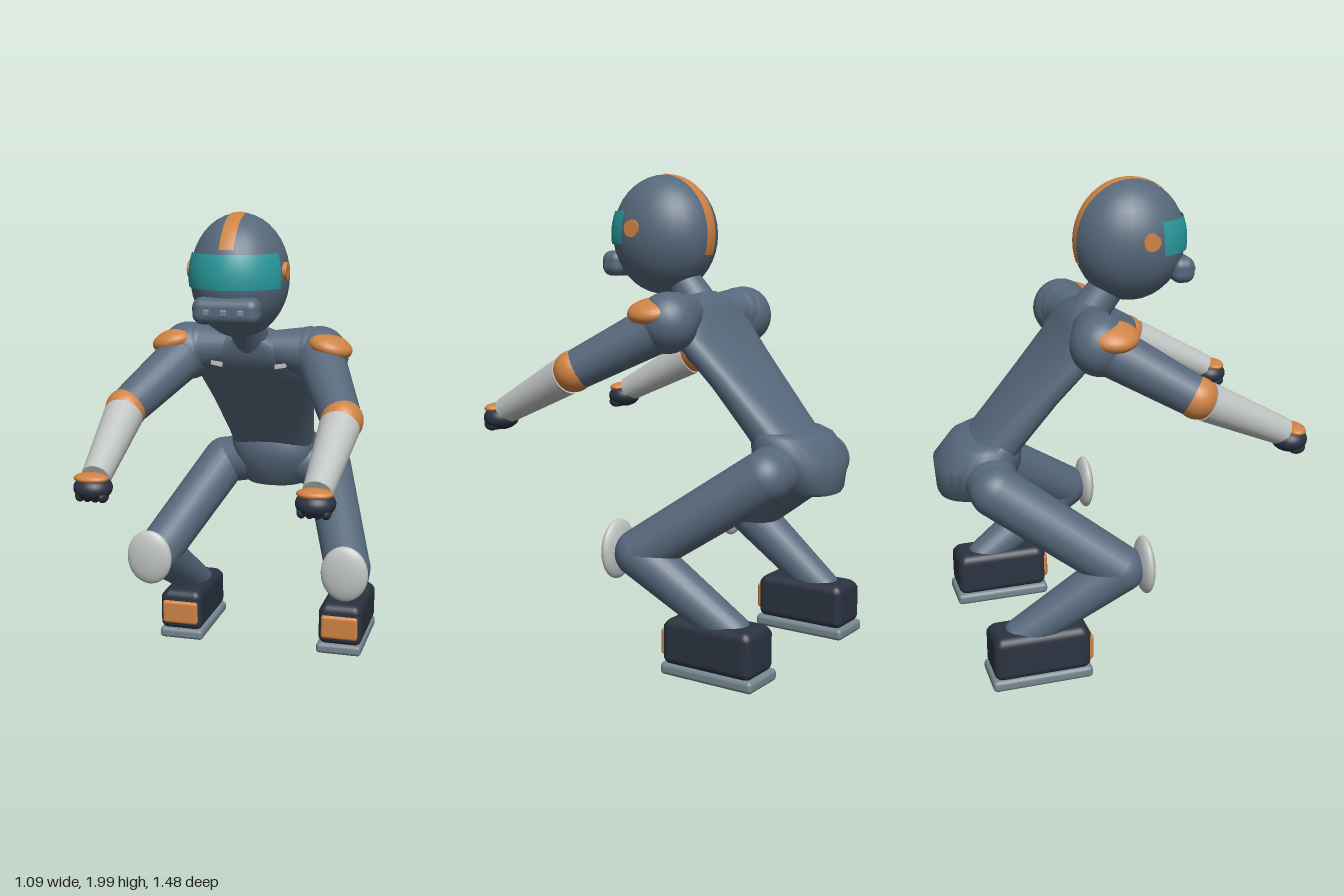
import * as THREE from 'three';
import { toCreasedNormals } from 'three/addons/utils/BufferGeometryUtils.js';
import { RoundedBoxGeometry } from 'three/addons/geometries/RoundedBoxGeometry.js';

const material = (name, color, side = THREE.FrontSide) => {
  const m = new THREE.MeshStandardMaterial({ color, side });
  m.name = name;
  return m;
};
const suit = material('slate suit', 0x56687b);
const dark = material('dark rubber', 0x2b3341);
const orange = material('orange trim', 0xcf8344);
const pale = material('pale armour', 0xc0c4c3);
const teal = material('teal visor', 0x2a9a9e, THREE.DoubleSide);
const grey = material('grey sole', 0x768690);

const V = (x, y, z) => new THREE.Vector3(x, y, z);

function add(parent, name, geometry, mat, [x, y, z] = [0, 0, 0]) {
  const mesh = new THREE.Mesh(geometry, mat);
  mesh.name = name;
  mesh.position.set(x, y, z);
  parent.add(mesh);
  return mesh;
}

function ellipsoid(parent, name, mat, pos, radii) {
  const mesh = add(parent, name, new THREE.SphereGeometry(1, 28, 20), mat, pos);
  mesh.scale.set(...radii);
  return mesh;
}

// Tapered round limb between two points, with rounded ends
function limb(parent, name, mat, a, b, ra, rb, caps = true) {
  const group = new THREE.Group();
  group.name = name;
  const dir = b.clone().sub(a);
  const tube = add(group, name + 'Tube', new THREE.CylinderGeometry(rb, ra, dir.length(), 24), mat,
    a.clone().add(b).multiplyScalar(0.5).toArray());
  tube.quaternion.setFromUnitVectors(V(0, 1, 0), dir.normalize());
  if (caps) {
    ellipsoid(group, name + 'Start', mat, a.toArray(), [ra, ra, ra]);
    ellipsoid(group, name + 'End', mat, b.toArray(), [rb, rb, rb]);
  }
  parent.add(group);
  return group;
}

// Loft of superellipse rings: [y, z, halfWidth, halfDepth, tilt]
function loft(rings, power, n = 28) {
  const pos = [], index = [];
  const bend = (v) => Math.sign(v) * Math.abs(v) ** (2 / power);
  const all = [[...rings[0]], ...rings, [...rings.at(-1)]];
  for (const cap of [all[0], all.at(-1)]) cap[2] = cap[3] = 0.0001;
  all.forEach(([y, z, w, d, tilt], i) => {
    for (let j = 0; j < n; j++) {
      const t = (j / n) * Math.PI * 2, s = d * bend(Math.sin(t));
      pos.push(w * bend(Math.cos(t)), y - s * Math.sin(tilt), z + s * Math.cos(tilt));
      if (i === all.length - 1) continue;
      const a = i * n + j, b = i * n + (j + 1) % n;
      index.push(a, a + n, b + n, a, b + n, b);
    }
  });
  const g = new THREE.BufferGeometry();
  g.setAttribute('position', new THREE.Float32BufferAttribute(pos, 3));
  g.setIndex(index);
  return toCreasedNormals(g, 0.9);
}

function buildHead() {
  const head = new THREE.Group();
  head.name = 'head';
  const c = [0, 1.745, 0.113];
  ellipsoid(head, 'helmet', suit, c, [0.201, 0.252, 0.234]);
  // Visor band
  const visor = add(head, 'visor', new THREE.SphereGeometry(1, 32, 8, 0.37, Math.PI - 0.74, 1.18, 0.54), teal, c);
  visor.scale.set(0.207, 0.26, 0.242);
  // Crest stripe running from the brow to the nape
  const band = new THREE.SphereGeometry(1, 32, 4, 2.05, 3.0, Math.PI / 2 - 0.15, 0.3).rotateZ(Math.PI / 2);
  add(head, 'crestStripe', band, orange, c).scale.set(0.2, 0.255, 0.237);
  // Mouth guard with three studs
  add(head, 'mouthGuard', new RoundedBoxGeometry(0.275, 0.108, 0.1, 5, 0.04), suit, [0, 1.624, 0.313]);
  for (const x of [-0.07, 0, 0.07]) {
    add(head, 'mouthStud', new RoundedBoxGeometry(0.026, 0.026, 0.026, 2, 0.006), grey, [x, 1.621, 0.364]);
  }
  for (const s of [-1, 1]) {
    const disc = new THREE.CylinderGeometry(0.036, 0.036, 0.03, 20).rotateZ(Math.PI / 2);
    add(head, 'earDisc', disc, orange, [s * 0.192, 1.77, 0.143]);
  }
  return head;
}

function buildBody() {
  const body = new THREE.Group();
  body.name = 'body';
  add(body, 'torso', loft([
    [0.88, -0.53, 0.185, 0.09, 0.7],
    [1.0, -0.43, 0.2, 0.084, 0.72],
    [1.166, -0.29, 0.23, 0.074, 0.72],
    [1.3, -0.17, 0.262, 0.072, 0.68],
    [1.385, -0.105, 0.262, 0.09, 0.55],
    [1.44, -0.075, 0.2, 0.09, 0.45],
    [1.485, -0.05, 0.1, 0.068, 0.4],
  ], 2.6), suit);
  add(body, 'pelvis', loft([
    [0.72, -0.575, 0.14, 0.145, 0],
    [0.735, -0.57, 0.16, 0.157, 0],
    [0.86, -0.555, 0.215, 0.18, 0],
    [0.945, -0.515, 0.205, 0.145, 0],
    [0.965, -0.495, 0.19, 0.11, 0],
  ], 2.3), suit);
  limb(body, 'neck', suit, V(0, 1.46, -0.055), V(0, 1.57, 0.035), 0.08, 0.072);
  for (const s of [-1, 1]) {
    // Fleshed-out joins toward the shoulders and hips
    limb(body, 'shoulderBridge', suit, V(s * 0.06, 1.425, -0.075), V(s * 0.25, 1.41, -0.1), 0.07, 0.108);
    limb(body, 'hipBridge', suit, V(s * 0.1, 0.835, -0.53), V(s * 0.24, 0.805, -0.53), 0.112, 0.108);
    // Small chest clips
    const clip = add(body, 'chestClip', new THREE.BoxGeometry(0.05, 0.018, 0.02), pale, [s * 0.14, 1.357, -0.021]);
    clip.rotation.z = s * 0.2;
  }
  return body;
}

function buildArm(s) {
  const arm = new THREE.Group();
  arm.name = s > 0 ? 'leftArm' : 'rightArm';
  const shoulder = V(s * 0.29, 1.395, -0.1), elbow = V(s * 0.455, 1.195, 0.25), wrist = V(s * 0.44, 1.0, 0.64);
  ellipsoid(arm, 'shoulder', suit, shoulder.toArray(), [0.123, 0.125, 0.123]);
  limb(arm, 'upperArm', suit, shoulder, elbow, 0.105, 0.083, false);
  ellipsoid(arm, 'shoulderPad', orange, [s * 0.342, 1.443, -0.06], [0.097, 0.05, 0.101]).rotation.z = -s * 0.27;
  ellipsoid(arm, 'elbowCuff', orange, elbow.toArray(), [0.087, 0.087, 0.087]);
  limb(arm, 'forearm', pale, elbow.clone().lerp(wrist, 0.1), wrist, 0.082, 0.058, false);
  // Fist with knuckle plate and finger tips
  ellipsoid(arm, 'fist', dark, [s * 0.44, 0.968, 0.668], [0.077, 0.052, 0.074]);
  ellipsoid(arm, 'knucklePlate', orange, [s * 0.44, 1.009, 0.685], [0.07, 0.021, 0.047]);
  for (let i = 0; i < 4; i++) {
    ellipsoid(arm, 'finger', dark, [s * (0.392 + i * 0.031), 0.94, 0.685], [0.019, 0.026, 0.036]);
  }
  return arm;
}

function buildLeg(s) {
  const leg = new THREE.Group();
  leg.name = s > 0 ? 'leftLeg' : 'rightLeg';
  const hip = V(s * 0.25, 0.805, -0.53), knee = V(s * 0.435, 0.475, -0.06), ankle = V(s * 0.375, 0.2, -0.47);
  limb(leg, 'thigh', suit, hip, knee, 0.108, 0.1);
  limb(leg, 'shin', suit, knee, ankle, 0.1, 0.075);
  ellipsoid(leg, 'kneePad', pale, [s * 0.44, 0.48, 0.042], [0.103, 0.123, 0.035]);
  // Boot block with bevelled upper edges
  const boot = new RoundedBoxGeometry(0.2, 0.19, 0.41, 4, 0.035);
  const p = boot.attributes.position;
  for (let i = 0; i < p.count; i++) {
    const k = 1 - 0.12 * Math.max(0, (p.getY(i) - 0.06) / 0.035);
    p.setX(i, p.getX(i) * k);
    p.setZ(i, p.getZ(i) * (1 + k) / 2);
  }
  add(leg, 'boot', boot, dark, [s * 0.378, 0.143, -0.398]);
  add(leg, 'sole', new RoundedBoxGeometry(0.208, 0.05, 0.425, 3, 0.018), grey, [s * 0.375, 0.03, -0.4]);
  add(leg, 'toeCap', new RoundedBoxGeometry(0.168, 0.11, 0.045, 3, 0.014), orange, [s * 0.378, 0.137, -0.203]);
  return leg;
}

export function createModel() {
  const model = new THREE.Group();
  model.name = 'crouchingFigure';
  model.add(buildHead(), buildBody());
  for (const s of [-1, 1]) model.add(buildArm(s), buildLeg(s));
  return model;
}
